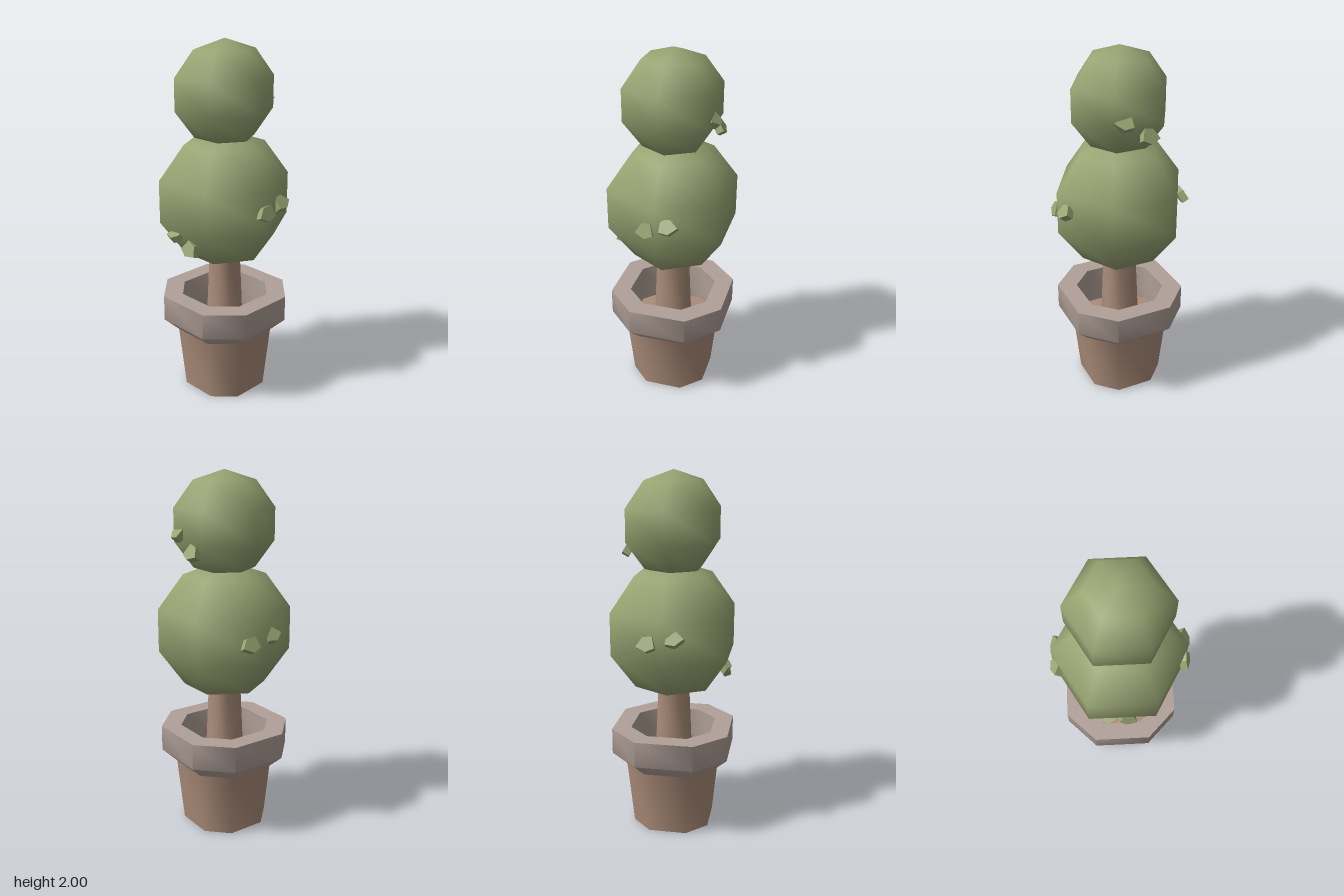
import * as THREE from 'three';
import { toCreasedNormals } from 'three/addons/utils/BufferGeometryUtils.js';

const flat = (name, color) => Object.assign(new THREE.MeshStandardMaterial({ color }), { name });

export function createModel() {
  const foliage = flat('foliage green', 0x98a472);
  const clay = flat('clay brown', 0xab8c79);
  const stone = flat('rim grey', 0xb0a098);

  const model = new THREE.Group();
  model.name = 'topiary';

  const add = (name, geometry, material, y = 0) => {
    const mesh = new THREE.Mesh(geometry, material);
    mesh.name = name;
    mesh.position.set(-0.004, y, -0.003);
    model.add(mesh);
    return mesh;
  };

  // Lathe reshaped to a chamfered square: profile radius = half width, corners at 0.49 of it
  const octagon = (profile) => {
    const points = profile.map(([r, y]) => new THREE.Vector2(r, y));
    const g = new THREE.LatheGeometry(points, 8, Math.PI / 8);
    const p = g.attributes.position;
    for (let i = 0; i < p.count; i++) {
      const x = p.getX(i), z = p.getZ(i), r = Math.hypot(x, z);
      const wide = Math.abs(x) > Math.abs(z);
      p.setX(i, Math.sign(x) * r * (wide ? 1 : 0.49));
      p.setZ(i, Math.sign(z) * r * (wide ? 0.49 : 1));
    }
    return toCreasedNormals(g, 1.0);
  };

  // Pot, rim and trunk
  add('potBody', octagon([[0, 0], [0.215, 0], [0.25, 0.365], [0, 0.365]]), clay);
  add('potRim', octagon([[0.25, 0.365], [0.325, 0.44], [0.325, 0.585], [0.225, 0.585], [0.225, 0.36]]), stone);
  add('trunk', octagon([[0.1, 0.36], [0.082, 0.8], [0, 0.8]]), clay);

  // Clipped foliage balls
  add('lowerFoliage', new THREE.SphereGeometry(0.384, 6, 5), foliage, 1.14);
  add('upperFoliage', new THREE.SphereGeometry(0.284, 6, 5), foliage, 1.716);

  // Chunky five-sided leaves: position, face normal, tip direction
  const outline = [[0.055, 0], [0.01, 0.04], [-0.04, 0.033], [-0.04, -0.033], [0.01, -0.04]];
  const leafGeometry = new THREE.ExtrudeGeometry(
    new THREE.Shape(outline.map(([x, y]) => new THREE.Vector2(x, y))),
    { depth: 0.04, bevelEnabled: false }
  ).translate(0, 0, -0.02);

  const leaves = [
    [[-0.085, 0.97, 0.285], [-0.15, 0.85, 0.5], [-0.9, -0.1, 0.4]],
    [[0.03, 0.915, 0.285], [0.1, 0.35, 0.9], [0.8, -0.5, 0.1]],
    [[0.345, 1.14, 0.04], [0.9, 0.3, 0.15], [0, -0.3, 1]],
    [[0.34, 1.17, -0.075], [0.75, 0.65, 0], [0.1, 0.1, -1]],
    [[-0.345, 1.14, -0.085], [-0.85, 0.45, -0.1], [0, -0.3, -1]],
    [[-0.34, 1.17, 0.055], [-0.75, 0.6, 0], [-0.1, 0.1, 1]],
    [[0.08, 1.67, -0.235], [0.1, 0.7, -0.7], [1, 0.1, 0]],
    [[-0.055, 1.585, -0.24], [-0.1, 0.5, -0.85], [-1, -0.4, 0]],
  ];
  leaves.forEach(([at, normal, tip], i) => {
    const n = new THREE.Vector3(...normal).normalize();
    const side = new THREE.Vector3().crossVectors(n, new THREE.Vector3(...tip)).normalize();
    const t = new THREE.Vector3().crossVectors(side, n);
    const leaf = add(`leaf${i + 1}`, leafGeometry, foliage);
    leaf.position.set(...at);
    leaf.quaternion.setFromRotationMatrix(new THREE.Matrix4().makeBasis(t, side, n));
  });

  return model;
}
